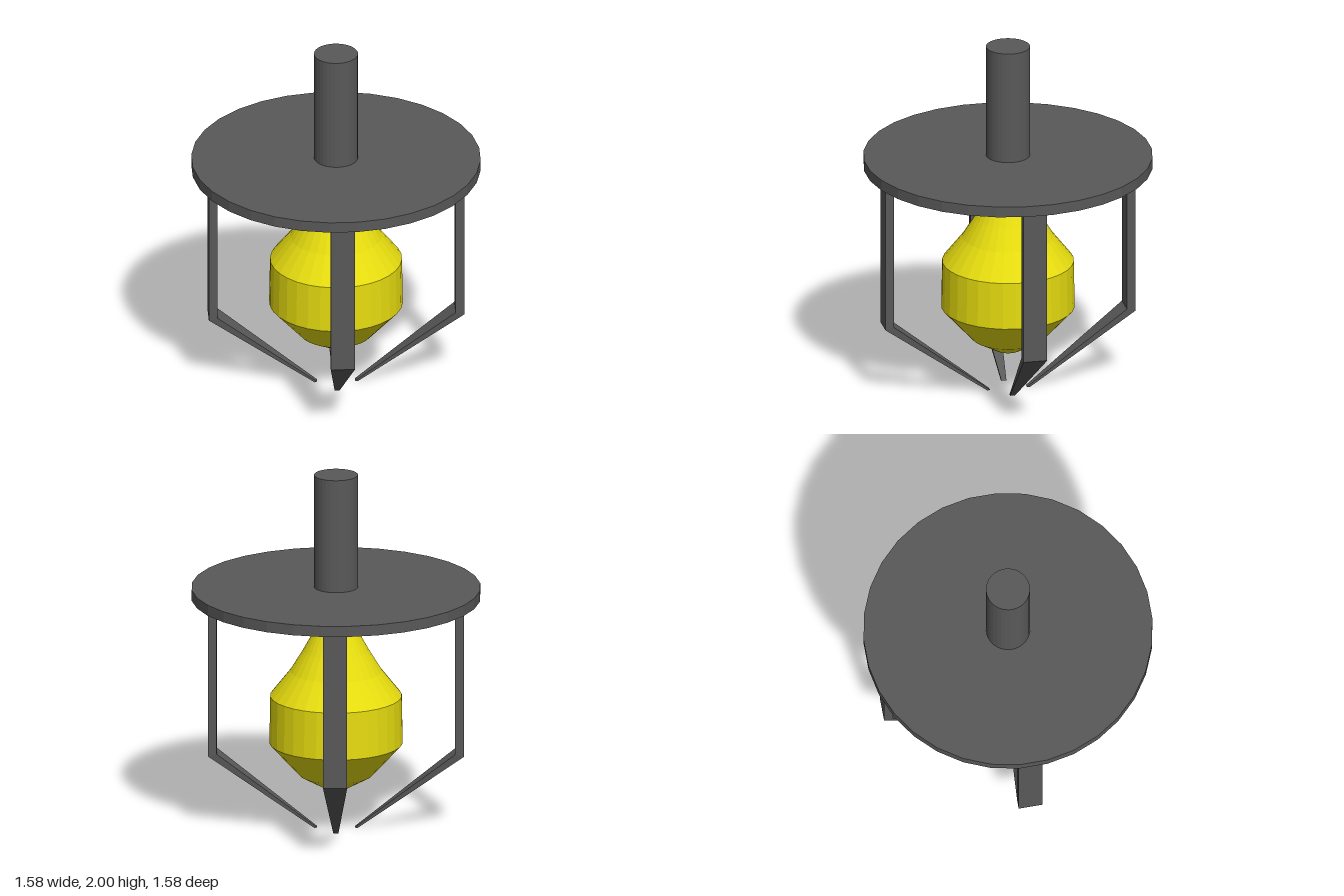
import * as THREE from 'three';

const SIDES = 32;

function mesh(name, geometry, material) {
  const m = new THREE.Mesh(geometry, material);
  m.name = name;
  return m;
}

// Bent prong: rectangular rings [halfWidth, outerZ, outerY, innerZ, innerY], top to tip
function prongGeometry() {
  const rings = [
    [0.066, 0.698, 1.31, 0.65, 1.31],
    [0.066, 0.698, 0.42, 0.65, 0.432],
    [0.014, 0.117, 0, 0.103, 0.004],
  ];
  const pos = [], idx = [];
  for (const [w, oz, oy, iz, iy] of rings) {
    pos.push(-w, oy, oz, w, oy, oz, w, iy, iz, -w, iy, iz);
  }
  const quad = (a, b, c, d) => idx.push(a, b, c, a, c, d);
  for (let r = 0; r < rings.length - 1; r++) {
    for (let i = 0; i < 4; i++) {
      const a = r * 4 + i, b = r * 4 + (i + 1) % 4;
      quad(a, a + 4, b + 4, b);
    }
  }
  quad(0, 1, 2, 3);
  quad(11, 10, 9, 8);
  const g = new THREE.BufferGeometry();
  g.setAttribute('position', new THREE.Float32BufferAttribute(pos, 3));
  g.setIndex(idx);
  const flat = g.toNonIndexed();
  flat.computeVertexNormals();
  return flat;
}

export function createModel() {
  const group = new THREE.Group();
  group.name = 'cagedBulb';

  const grey = new THREE.MeshStandardMaterial({ color: 0x595959 });
  grey.name = 'dark grey metal';
  grey.flatShading = true;
  const yellow = new THREE.MeshStandardMaterial({ color: 0xe6dc0f });
  yellow.name = 'yellow';
  yellow.flatShading = true;

  // Stem above the plate
  const stem = mesh('stem', new THREE.CylinderGeometry(0.12, 0.12, 0.66, SIDES), grey);
  stem.position.y = 1.67;
  group.add(stem);

  // Round plate
  const plate = mesh('plate', new THREE.CylinderGeometry(0.79, 0.79, 0.06, SIDES), grey);
  plate.position.y = 1.335;
  group.add(plate);

  // Hanging bulb
  const profile = [
    [0, 0.226], [0.07, 0.23], [0.2, 0.303], [0.365, 0.485], [0.36, 0.75],
    [0.25, 0.89], [0.18, 1.005], [0.12, 1.115], [0.12, 1.31],
  ].map(([r, y]) => new THREE.Vector2(r, y));
  group.add(mesh('bulb', new THREE.LatheGeometry(profile, SIDES), yellow));

  // Four prongs around the bulb
  const prong = prongGeometry();
  for (let i = 0; i < 4; i++) {
    const p = mesh('prong' + (i + 1), prong, grey);
    p.rotation.y = 0.294 + i * Math.PI / 2;
    group.add(p);
  }
  return group;
}
